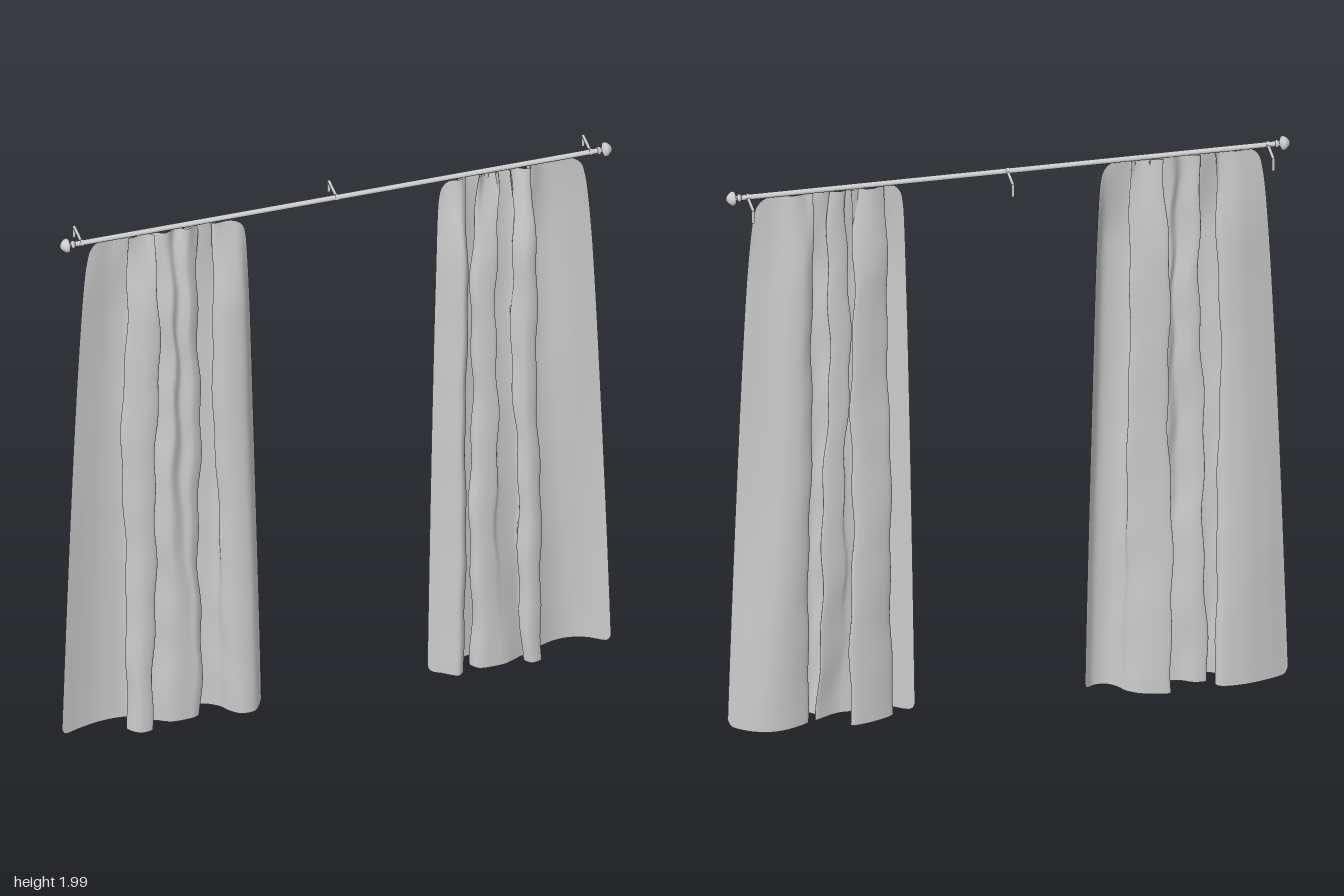
import * as THREE from 'three';

const ROD_Y = 1.975, ROD_Z = 0.01;
const mat = new THREE.MeshStandardMaterial({ color: 0xcccccc });
const clothMat = new THREE.MeshStandardMaterial({ color: 0xcccccc, side: THREE.DoubleSide });

function add(parent, name, geometry, x = 0, y = 0, z = 0, material = mat) {
  const mesh = new THREE.Mesh(geometry, material);
  mesh.name = name;
  mesh.position.set(x, y, z);
  parent.add(mesh);
  return mesh;
}

// Curtain: folds given as [x, z] at the hem and, optionally, [x, z] high up,
// swept upwards, gathered and flattened towards the rod.
// topX gives the two ends of the gathered heading.
function curtainGeometry(folds, topX, phase) {
  const cols = 200, rows = 80;
  const sample = (pick) => new THREE.CatmullRomCurve3(
    folds.map(pick).map(([x, z]) => new THREE.Vector3(x, 0, z)), false, 'centripetal').getPoints(cols);
  const low = sample((f) => f), high = sample(([x, z, hx = x, hz = z]) => [hx, hz]);
  const x0 = low[0].x, x1 = low[cols].x;
  const geo = new THREE.PlaneGeometry(1, 1, cols, rows);
  const pos = geo.attributes.position;
  const { lerp, smoothstep } = THREE.MathUtils;
  const p = new THREE.Vector3();
  // height lost at a rounded corner of the given radius
  const corner = (d, r) => d >= r ? 0 : r - Math.sqrt(r * r - (r - d) ** 2);

  for (let j = 0; j <= rows; j++) {
    for (let i = 0; i <= cols; i++) {
      const u = i / cols;
      const edge = Math.max(0, Math.min(low[i].x - x0, x1 - low[i].x));
      const top = 1.967 - corner(edge, 0.06) * 1.2;
      const bottom = 0.008 + corner(edge, 0.025);
      // rows crowd together towards the heading
      const v = 1 - (j / rows) ** 1.3;
      const y = lerp(bottom, top, v);
      const drop = 1 - v;
      p.lerpVectors(low[i], high[i], smoothstep(v, 0, 0.7));

      // folds open a little at the heading; the sides flare downwards
      const fold = smoothstep(drop, -0.06, 0.2);
      const flare = Math.pow(drop, 0.65);
      const s = lerp(u, (p.x - x0) / (x1 - x0), lerp(0.85, 1, fold));
      let x = lerp(lerp(topX[0], topX[1], s), lerp(x0, x1, s), flare);

      // soft wander of the folds, fading out at the sides
      const mid = Math.sin(Math.PI * u);
      x += mid * (0.006 * Math.sin(y * 7 + u * 9 + phase) + 0.004 * Math.sin(y * 21 + u * 17 + phase));

      // depth tapers to the rod, with small gathers in the heading
      const depth = 0.12 + 0.78 * smoothstep(drop, -0.03, 0.17) + 0.1 * drop;
      let z = ROD_Z + (p.z - ROD_Z) * depth;
      z += mid * 0.01 * Math.sin(u * 58 + phase) * Math.exp(-drop * 12);
      z += mid * 0.004 * Math.sin(y * 5 + u * 21 + phase) * fold;
      pos.setXYZ(j * (cols + 1) + i, x, y, z);
    }
  }
  geo.computeVertexNormals();
  return geo;
}

export function createModel() {
  const model = new THREE.Group();
  model.name = 'curtains';

  // Rod
  const rod = new THREE.CylinderGeometry(0.009, 0.009, 1.75, 20).rotateZ(Math.PI / 2);
  add(model, 'rod', rod, 0, ROD_Y, ROD_Z);

  // Finials: collar, neck and tapered knob, turned about the rod axis
  const profile = [
    [0, 0], [0.012, 0], [0.013, 0.008], [0.008, 0.011], [0.009, 0.015], [0.021, 0.019],
    [0.024, 0.025], [0.022, 0.033], [0.014, 0.042], [0.007, 0.047], [0, 0.049],
  ].map(([r, h]) => new THREE.Vector2(r, h));
  for (const side of [-1, 1]) {
    const finial = add(model, side > 0 ? 'leftFinial' : 'rightFinial',
      new THREE.LatheGeometry(profile, 24), side * 0.867, ROD_Y, ROD_Z);
    finial.rotation.z = -side * Math.PI / 2;
  }

  // Brackets: a clip round the rod, an arm to the wall and a thin plate turned down
  for (const x of [-0.843, 0.002, 0.845]) {
    const bracket = new THREE.Group();
    bracket.name = 'bracket';
    bracket.position.set(x, ROD_Y, 0);
    const clip = new THREE.CylinderGeometry(0.011, 0.011, 0.01, 20).rotateZ(Math.PI / 2);
    add(bracket, 'clip', clip, 0, 0, ROD_Z);
    add(bracket, 'arm', new THREE.BoxGeometry(0.01, 0.004, 0.09), 0, 0, -0.036);
    add(bracket, 'wallPlate', new THREE.BoxGeometry(0.01, 0.043, 0.002), 0, -0.023, -0.08);
    model.add(bracket);
  }

  // Curtains
  const rightFolds = [
    [-0.91, 0.015], [-0.84, -0.01, -0.84, -0.002], [-0.76, -0.026, -0.78, -0.012],
    [-0.685, -0.02, -0.72, -0.004], [-0.67, 0.0, -0.71, 0.012], [-0.7, 0.035, -0.74, 0.036],
    [-0.665, 0.068], [-0.62, 0.06], [-0.645, 0.018], [-0.61, 0.018], [-0.55, 0.046, -0.56, 0.05],
    [-0.49, 0.046, -0.53, 0.032], [-0.47, 0.04, -0.49, 0.045], [-0.455, 0.024],
    [-0.51, -0.002], [-0.525, -0.032, -0.52, -0.02], [-0.44, -0.018],
    [-0.39, 0.01, -0.38, 0.0], [-0.365, 0.038, -0.405, 0.028],
    [-0.33, 0.062, -0.37, 0.058], [-0.285, 0.062, -0.295, 0.06], [-0.255, 0.035, -0.255, 0.015],
  ];
  const leftFolds = [
    [0.3, 0.02], [0.34, 0.04], [0.395, 0.07], [0.415, 0.045], [0.375, 0.01], [0.43, -0.022, 0.43, -0.013],
    [0.515, -0.034, 0.505, -0.02], [0.51, -0.008], [0.44, 0.02], [0.46, 0.048], [0.515, 0.05, 0.525, 0.05],
    [0.55, 0.045, 0.515, 0.025], [0.615, 0.022, 0.59, 0.022], [0.605, 0.048, 0.585, 0.045], [0.63, 0.072],
    [0.67, 0.058], [0.65, 0.015], [0.69, -0.01, 0.68, -0.014], [0.76, -0.026, 0.73, -0.016],
    [0.83, -0.012, 0.81, 0.008], [0.905, 0.035, 0.905, 0.022],
  ];
  add(model, 'rightCurtain', curtainGeometry(rightFolds, [-0.825, -0.3], 0.6), 0, 0, 0, clothMat);
  add(model, 'leftCurtain', curtainGeometry(leftFolds, [0.34, 0.825], 2.9), 0, 0, 0, clothMat);

  return model;
}
